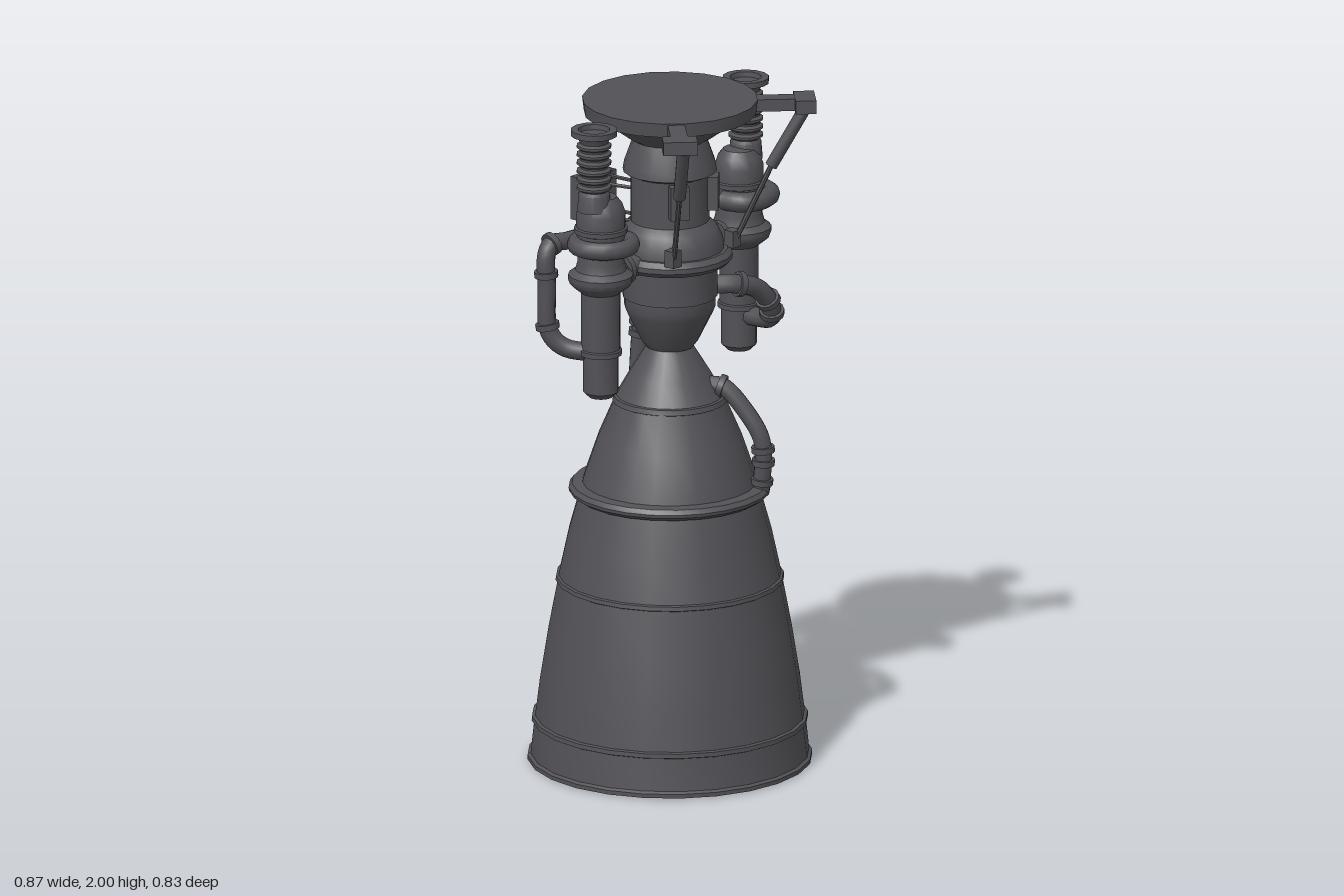
import * as THREE from 'three';
import { toCreasedNormals } from 'three/addons/utils/BufferGeometryUtils.js';

const V = (p) => new THREE.Vector3(...p);
const UP = new THREE.Vector3(0, 1, 0);

export function createModel() {
  const metal = new THREE.MeshStandardMaterial({ color: 0x525156, side: THREE.DoubleSide });
  metal.name = 'dark gunmetal';
  const root = new THREE.Group();
  root.name = 'rocketEngine';

  const add = (name, geo, pos = [0, 0, 0], parent = root) => {
    const m = new THREE.Mesh(geo, metal);
    m.name = name;
    m.position.set(...pos);
    parent.add(m);
    return m;
  };
  // Turned part from [radius, height] pairs, bottom to top
  const turned = (name, pts, sides, pos, parent) => add(name,
    toCreasedNormals(new THREE.LatheGeometry(pts.map(p => new THREE.Vector2(...p)), sides), 0.5), pos, parent);
  // Straight rod between two points
  const rod = (name, a, b, r, sides = 10, parent = root) => {
    const d = V(b).sub(V(a));
    const m = add(name, toCreasedNormals(new THREE.CylinderGeometry(r, r, d.length(), sides), 0.8),
      V(a).add(V(b)).multiplyScalar(0.5).toArray(), parent);
    m.quaternion.setFromUnitVectors(UP, d.normalize());
    return m;
  };
  // Curved pipe with collars at fractions of its length
  const pipe = (name, pts, r, collars = []) => {
    const g = new THREE.Group();
    g.name = name;
    root.add(g);
    const curve = new THREE.CatmullRomCurve3(pts.map(V), false, 'centripetal');
    add(name + 'Tube', new THREE.TubeGeometry(curve, pts.length * 5, r, 10), [0, 0, 0], g);
    for (const t of collars) {
      const c = curve.getPointAt(t), d = curve.getTangentAt(t).multiplyScalar(0.009);
      rod(name + 'Collar', c.clone().sub(d).toArray(), c.clone().add(d).toArray(), r + 0.008, 12, g);
    }
  };

  // Nozzle bell, open at the bottom, with stiffening bands
  turned('nozzleBell', [
    [0.398, 0], [0.413, 0.004], [0.413, 0.016], [0.404, 0.022],
    [0.394, 0.118], [0.401, 0.121], [0.400, 0.134], [0.391, 0.137],
    [0.377, 0.25], [0.353, 0.40], [0.326, 0.543], [0.332, 0.546], [0.330, 0.558], [0.323, 0.561],
    [0.295, 0.69], [0.262, 0.81], [0.249, 0.86], [0.208, 0.98],
    [0.163, 1.085], [0.167, 1.087], [0.163, 1.102], [0.155, 1.104],
    [0.118, 1.17], [0.078, 1.235], [0.068, 1.25]], 24);
  // Coolant manifold around the bell
  turned('coolantManifold', [
    [0.25, 0.80], [0.275, 0.803], [0.292, 0.815], [0.294, 0.825], [0.284, 0.838], [0.25, 0.842]], 24);

  // Combustion chamber and injector dome
  turned('combustionChamber', [
    [0.068, 1.25], [0.082, 1.268], [0.125, 1.355], [0.133, 1.375], [0.133, 1.405], [0.138, 1.405],
    [0.138, 1.50], [0.165, 1.505], [0.182, 1.52], [0.182, 1.535], [0.168, 1.55], [0.158, 1.55],
    [0.155, 1.58], [0.138, 1.615], [0.115, 1.635], [0.115, 1.775], [0.137, 1.785], [0.133, 1.81],
    [0.108, 1.88], [0.125, 1.89], [0.2, 1.945], [0.205, 1.962]], 20);
  add('chamberRing', new THREE.TorusGeometry(0.155, 0.02, 8, 24).rotateX(Math.PI / 2), [0, 1.525, 0]);

  // Gimbal plate on top
  add('gimbalPlate', toCreasedNormals(new THREE.CylinderGeometry(0.255, 0.25, 0.042, 20), 0.5), [0, 1.979, 0]);

  // Valve housings on the upper neck
  for (const a of [-0.65, 0.65, 2.3]) {
    const m = add('valveHousing', new THREE.BoxGeometry(0.055, 0.1, 0.04),
      [0.122 * Math.sin(a), 1.72, 0.122 * Math.cos(a)]);
    m.rotation.y = a;
  }

  // Controller box on rear brackets
  add('controllerBox', new THREE.BoxGeometry(0.14, 0.13, 0.055), [-0.075, 1.68, -0.227]);
  for (const y of [1.63, 1.73])
    for (const x of [-0.11, -0.03]) rod('boxBracket', [x * 0.7, y, -0.08], [x, y, -0.21], 0.006, 6);

  for (const s of [-1, 1]) {
    // Outrigger arm and gimbal actuator
    const arm = add('outriggerArm', new THREE.BoxGeometry(0.05, 0.036, 0.2), [s * 0.21, 1.978, 0.21]);
    arm.rotation.y = s * Math.PI / 4;
    const pad = add('outriggerPad', new THREE.BoxGeometry(0.1, 0.04, 0.06), [s * 0.277, 1.977, 0.277]);
    pad.rotation.y = s * Math.PI / 4;
    rod('actuatorCylinder', [s * 0.268, 1.96, 0.283], [s * 0.203, 1.79, 0.212], 0.019);
    rod('actuatorRod', [s * 0.203, 1.79, 0.212], [s * 0.138, 1.57, 0.135], 0.008, 8);
    add('actuatorFoot', new THREE.BoxGeometry(0.035, 0.05, 0.035), [s * 0.132, 1.57, 0.125]);

    // Turbopump
    const pump = new THREE.Group();
    pump.name = s < 0 ? 'rightTurbopump' : 'leftTurbopump';
    pump.position.x = s * 0.306;
    root.add(pump);
    turned('pumpBody', [
      [0, 1.165], [0.035, 1.168], [0.052, 1.185], [0.052, 1.295], [0.062, 1.297], [0.062, 1.312],
      [0.057, 1.315], [0.057, 1.485], [0.07, 1.495], [0.09, 1.512], [0.095, 1.525], [0.095, 1.54],
      [0.075, 1.555], [0.068, 1.58], [0.07, 1.665], [0.078, 1.668], [0.078, 1.682], [0.072, 1.685],
      [0.072, 1.725], [0.062, 1.755], [0.046, 1.775], [0, 1.785]], 16, [0, 0, 0], pump);

    // Bellows inlet duct with top flange
    const duct = [[0.05, 1.74], [0.046, 1.79]];
    for (let i = 0; i < 6; i++) {
      const y = 1.8 + i * 0.025;
      duct.push([0.041, y], [0.051, y + 0.007], [0.051, y + 0.014], [0.041, y + 0.02]);
    }
    duct.push([0.045, 1.955], [0.05, 1.965], [0.068, 1.968], [0.068, 1.985], [0.046, 1.985], [0.044, 1.97], [0, 1.97]);
    turned('inletDuct', duct, 14, [s * 0.03, 0, 0], pump);

    // Pump outlet into the chamber ring
    rod('pumpOutlet', [s * 0.15, 1.53, 0], [s * 0.28, 1.53, 0], 0.032, 12);
    rod('outletFlange', [s * 0.2, 1.53, 0], [s * 0.218, 1.53, 0], 0.048, 12);
  }

  // Volutes wrapped around the pumps
  add('rightVolute', new THREE.TorusGeometry(0.08, 0.027, 8, 18).rotateX(Math.PI / 2), [-0.3, 1.63, 0.005]);
  pipe('leftVolute', [[0.2, 1.63, -0.13], [0.26, 1.635, -0.13], [0.33, 1.635, -0.118], [0.38, 1.635, -0.07],
    [0.4, 1.635, 0], [0.375, 1.635, 0.06], [0.31, 1.635, 0.085], [0.25, 1.635, 0.06], [0.235, 1.635, 0]], 0.029, [0.1]);

  // Exhaust crossover on the right pump
  pipe('crossoverPipe', [[-0.22, 1.62, -0.05], [-0.25, 1.62, -0.1], [-0.32, 1.62, -0.115], [-0.38, 1.62, -0.127],
    [-0.4, 1.59, -0.127], [-0.4, 1.5, -0.125], [-0.395, 1.36, -0.12], [-0.37, 1.315, -0.085], [-0.31, 1.3, 0]],
  0.027, [0.3, 0.45, 0.7]);

  // Long feed pipe down the back to the manifold
  pipe('rearFeedPipe', [[0.23, 1.63, -0.13], [0.19, 1.63, -0.135], [0.17, 1.59, -0.155], [0.165, 1.45, -0.205],
    [0.172, 1.32, -0.245], [0.175, 1.22, -0.26], [0.173, 1.02, -0.272], [0.165, 0.9, -0.262], [0.15, 0.83, -0.225]],
  0.028, [0.32, 0.53, 0.57, 0.75, 0.79]);

  // Short pipe from the bell throat to the manifold
  pipe('frontFeedPipe', [[0.055, 1.14, 0.1], [0.075, 1.135, 0.14], [0.105, 1.065, 0.2], [0.125, 0.99, 0.24],
    [0.13, 0.93, 0.245], [0.13, 0.83, 0.235]], 0.026, [0.1, 0.68, 0.78, 0.93]);

  // Pipe from the chamber to the left pump
  pipe('chamberPipe', [[0.1, 1.425, 0.07], [0.15, 1.425, 0.12], [0.22, 1.4, 0.14], [0.27, 1.35, 0.145],
    [0.3, 1.29, 0.125], [0.305, 1.275, 0.03]], 0.029, [0.22, 0.55, 0.68]);

  return root;
}
